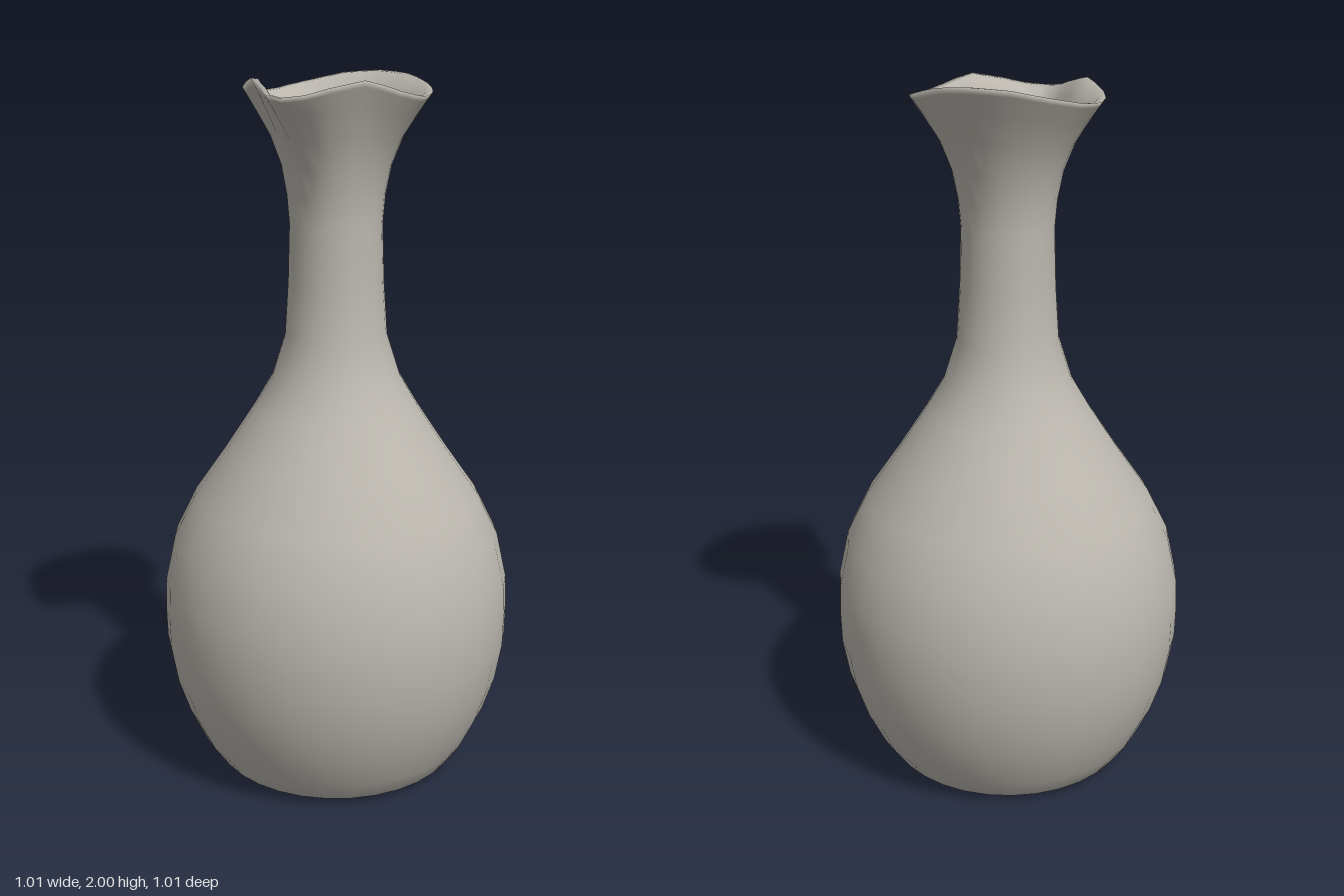
import * as THREE from 'three';
import { mergeVertices } from 'three/addons/utils/BufferGeometryUtils.js';

// Piecewise-linear lookup in a list of [key, value...] rows
function lookup(rows, key, column) {
  for (let i = 1; i < rows.length; i++) {
    if (key <= rows[i][0]) {
      const t = (key - rows[i - 1][0]) / (rows[i][0] - rows[i - 1][0]);
      return THREE.MathUtils.lerp(rows[i - 1][column], rows[i][column], t);
    }
  }
  return rows[rows.length - 1][column];
}

// Pinched rim: degrees from the front, radius, height
const rim = [
  [0, 0.315, 1.95], [8, 0.303, 1.952], [25, 0.254, 1.975], [45, 0.236, 1.99],
  [60, 0.243, 1.975], [72, 0.26, 1.955], [90, 0.261, 1.945], [112, 0.26, 1.952],
  [136, 0.262, 1.972], [160, 0.266, 1.995], [180, 0.273, 2.0],
];

// How strongly each height follows the rim outline
const flare = [[1.66, 0], [1.76, 0.12], [1.84, 0.35], [1.91, 0.68], [1.97, 1]];

export function createModel() {
  const group = new THREE.Group();
  const stoneware = new THREE.MeshStandardMaterial({ color: 0xbab6ae });
  stoneware.name = 'warm grey stoneware';

  // Section from the base centre, up the outside, over the lip, down the inside
  const section = [
    [0, 0], [0.15, 0], [0.3, 0], [0.315, 0.002], [0.36, 0.02], [0.405, 0.085], [0.45, 0.18],
    [0.483, 0.28], [0.502, 0.39], [0.504, 0.48], [0.5, 0.57], [0.471, 0.7], [0.411, 0.82],
    [0.32, 0.95], [0.235, 1.08], [0.182, 1.17], [0.144, 1.29], [0.134, 1.44], [0.129, 1.6],
    [0.133, 1.68], [0.138, 1.76], [0.142, 1.84], [0.145, 1.91], [0.145, 1.955], [0.145, 1.97],
    [0.125, 1.968], [0.116, 1.93], [0.112, 1.86], [0.108, 1.78], [0.105, 1.68],
    [0.105, 1.6], [0.107, 1.44], [0.115, 1.29], [0.155, 1.17], [0.205, 1.08], [0.29, 0.95],
    [0.38, 0.82], [0.44, 0.7], [0.47, 0.57], [0.472, 0.39], [0.42, 0.18], [0.33, 0.05],
    [0.28, 0.035], [0, 0.035],
  ].map(([r, y]) => new THREE.Vector2(r, y));

  let geometry = new THREE.LatheGeometry(section, 32);
  const pos = geometry.attributes.position;

  // Pull the mouth outwards into the pinched, wavy rim
  for (let i = 0; i < pos.count; i++) {
    const x = pos.getX(i), y = pos.getY(i), z = pos.getZ(i);
    if (y <= flare[0][0]) continue;
    const angle = Math.abs(Math.atan2(x, z)) * 180 / Math.PI;
    const w = lookup(flare, y, 1);
    const r = Math.hypot(x, z);
    const scale = (r + w * (lookup(rim, angle, 1) - 0.145)) / r;
    pos.setXYZ(i, x * scale, y + w * (lookup(rim, angle, 2) - 1.97), z * scale);
  }

  // Weld the seam for smooth shading all round
  geometry.deleteAttribute('uv');
  geometry.deleteAttribute('normal');
  geometry = mergeVertices(geometry, 1e-4);
  geometry.computeVertexNormals();

  const vase = new THREE.Mesh(geometry, stoneware);
  vase.name = 'vase';
  group.add(vase);
  return group;
}
